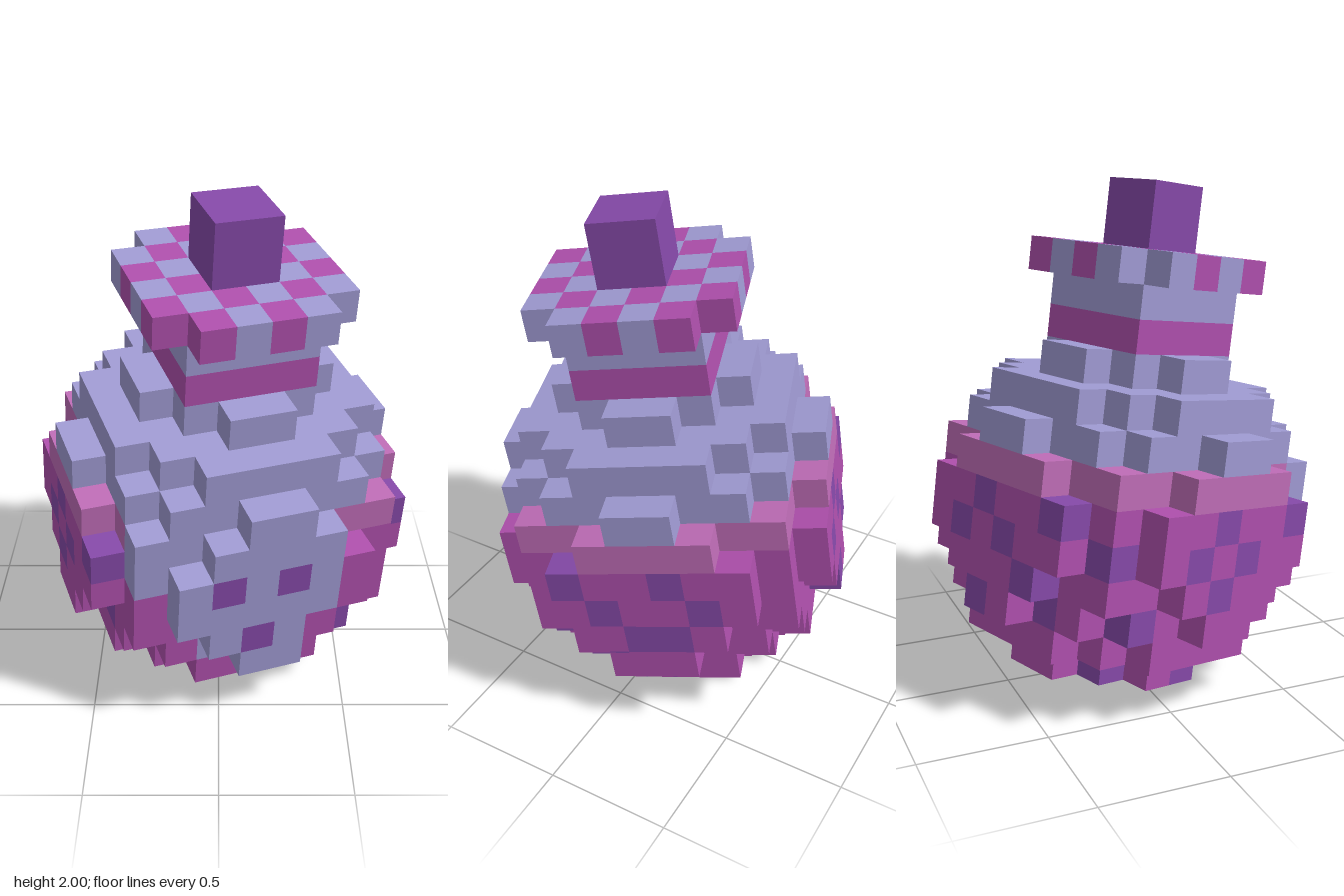
import * as THREE from 'three';
import { mergeGeometries } from 'three/addons/utils/BufferGeometryUtils.js';

const S = 0.1295; // edge length of one cube

const flat = (name, color) => Object.assign(new THREE.MeshStandardMaterial({ color }), { name });
const materials = {
  lavender: flat('lavender glass', 0x9f9ad2),
  pink: flat('light pink foam', 0xbe6cb6),
  magenta: flat('magenta liquid', 0xae4fac),
  purple: flat('purple accent', 0x8549a8),
};

// The six sides of a cube: outward direction and the turn that faces a plane that way
const H = Math.PI / 2;
const SIDES = [
  [0, 0, 1, 0, 0], [0, 0, -1, 0, 2 * H], [1, 0, 0, 0, H],
  [-1, 0, 0, 0, -H], [0, 1, 0, -H, 0], [0, -1, 0, H, 0],
].map(([x, y, z, rx, ry]) => ({
  dir: [x, y, z],
  plane: new THREE.PlaneGeometry(1, 1).rotateX(rx).rotateY(ry).translate(x / 2, y / 2, z / 2),
}));

// Builds the outer skin of a set of cubes; colourAt returns a colour name or null for empty space
function cubePart(name, colourAt, min, max) {
  const group = new THREE.Group();
  group.name = name;
  const lists = {};
  for (let x = min[0]; x < max[0]; x++)
    for (let y = min[1]; y < max[1]; y++)
      for (let z = min[2]; z < max[2]; z++) {
        const p = [x + 0.5, y + 0.5, z + 0.5];
        const colour = colourAt(...p);
        if (!colour) continue;
        for (const { dir, plane } of SIDES) {
          if (colourAt(p[0] + dir[0], p[1] + dir[1], p[2] + dir[2])) continue;
          (lists[colour] ??= []).push(plane.clone().translate(...p));
        }
      }
  for (const [colour, list] of Object.entries(lists)) {
    const mesh = new THREE.Mesh(mergeGeometries(list), materials[colour]);
    mesh.name = `${name} ${colour}`;
    group.add(mesh);
  }
  return group;
}

// Purple bubbles in the liquid, as x, row from the top, z
const BUBBLES = new Set([
  '-4.5,4,2.5', '4.5,4,2.5', '2.5,7,3.5', '0.5,8,3.5', '0.5,9,2.5', '2.5,8,2.5',
  '-4.5,4,-0.5', '-4.5,5,0.5', '-4.5,5,-1.5', '-4.5,6,-0.5',
  '4.5,4,-0.5', '4.5,5,-1.5', '4.5,5,1.5', '4.5,6,0.5',
  '0.5,4,-4.5', '1.5,5,-4.5', '-0.5,5,-4.5', '-2.5,4,-4.5',
  '-1.5,6,-4.5', '0.5,7,-4.5', '-3.5,5,-3.5',
]);
// Face on the front: first and last column of light cubes by row
const FACE = { 3: [-2, 2], 4: [-3, 2], 5: [-3, 2], 6: [-2, 1], 7: [-1, 1] };
const FACE_RIM = new Set(['-3.5,3', '-2.5,3', '-3.5,4', '-1.5,7']);
const FEATURES = new Set(['-1.5,4', '0.5,4', '-0.5,6']); // two eyes and a mouth

const scatter = (x, y, z) => {
  const v = Math.sin(x * 12.9 + y * 78.2 + z * 37.7) * 4375.5;
  return v - Math.floor(v);
};

// Round flask, ten cubes across
function flaskColour(x, y, z) {
  if (x * x + (y - 5) ** 2 + z * z > 27) return null;
  const row = 9.5 - y;
  const cell = `${x},${row}`;
  if (z === 4.5) {
    if (FEATURES.has(cell)) return 'purple';
    const span = FACE[row];
    if (span && x > span[0] && x < span[1]) return 'lavender';
  }
  if (z === 3.5 && FACE_RIM.has(cell)) return 'lavender';
  if (row < 3) return 'lavender';
  if (row === 3) return 'pink';
  if (BUBBLES.has(`${x},${row},${z}`)) return 'purple';
  return row >= 6 && z < 3 && scatter(x, y, z) < 0.18 ? 'purple' : 'magenta';
}

// Checked cloth with clipped corners
function clothColour(x, y, z) {
  const a = Math.abs(x), b = Math.abs(z);
  if (y !== 12.5 || a > 3 || b > 3 || a + b > 4.5) return null;
  return (x + z) % 2 === 0 ? 'lavender' : 'magenta';
}

function block(name, width, height, y, material) {
  const mesh = new THREE.Mesh(new THREE.BoxGeometry(width, height, width), material);
  mesh.name = name;
  mesh.position.y = y;
  return mesh;
}

export function createModel() {
  const bottle = new THREE.Group();
  bottle.name = 'bottle';
  bottle.add(
    cubePart('flask', flaskColour, [-5, 0, -5], [5, 10, 5]),
    block('neckBand', 4, 1, 10.5, materials.magenta),
    block('neck', 4, 1, 11.5, materials.lavender),
    cubePart('cloth', clothColour, [-3, 12, -3], [3, 13, 3]),
    block('stopper', 2, 2, 14, materials.purple),
  );

  // The bottle is turned and leans forward
  bottle.scale.setScalar(S);
  bottle.rotation.set(0.15, 0.349, 0, 'YXZ');
  bottle.position.set(-0.032, 0.059, -0.093);

  const model = new THREE.Group();
  model.name = 'potionBottle';
  model.add(bottle);
  return model;
}
